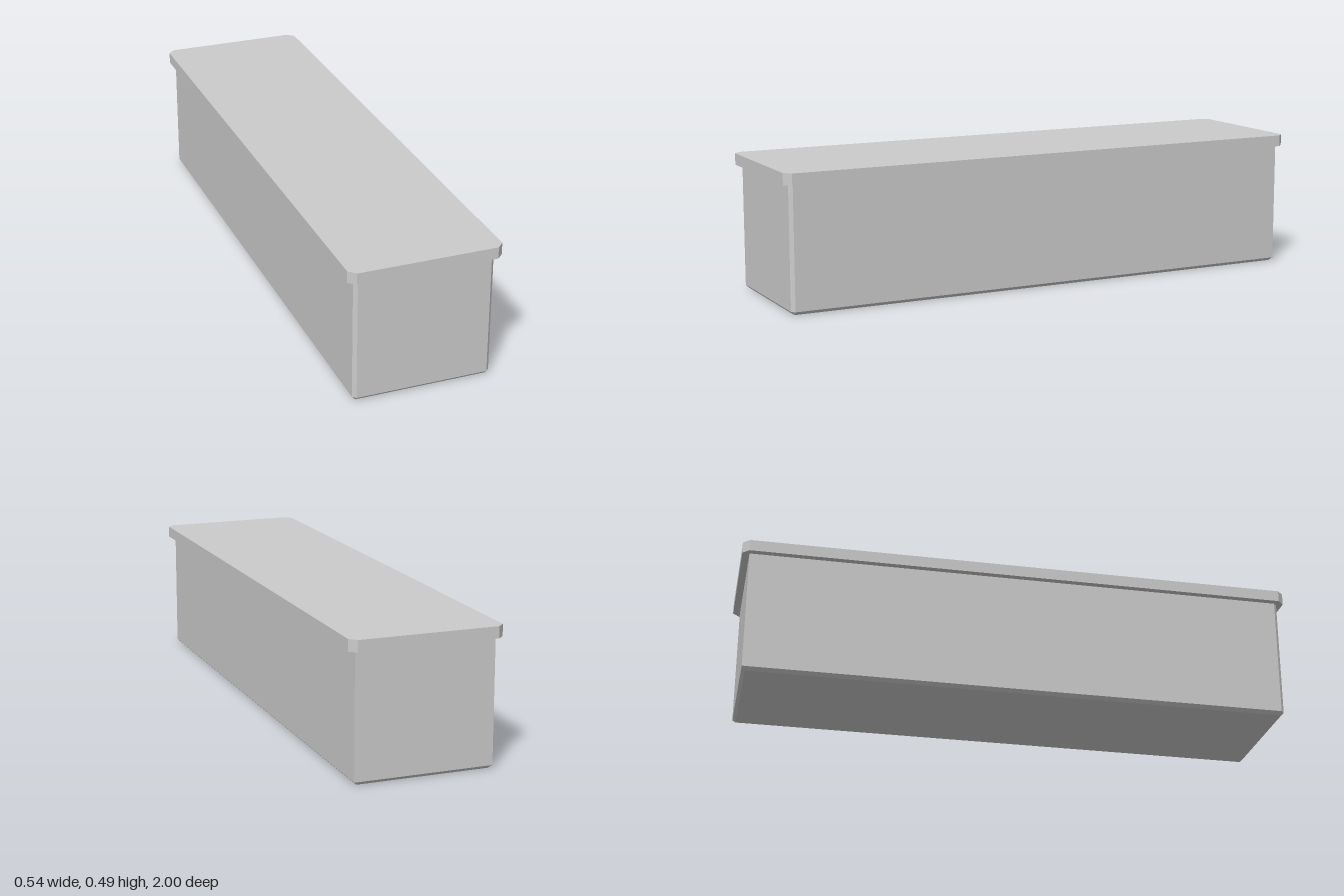
import * as THREE from 'three';

const material = new THREE.MeshStandardMaterial({ color: 0xcccccc, flatShading: true });

// Closed solid through stacked outlines; each outline is [x, z] points,
// counter-clockwise from above, at its own height.
function loft(name, sections) {
  const rings = sections.map(({ y, outline }) => outline.map(([x, z]) => new THREE.Vector3(x, y, z)));
  const n = rings[0].length;
  const positions = [];
  const triangle = (a, b, c) => {
    if (a.equals(b) || b.equals(c) || c.equals(a)) return;
    for (const p of [a, b, c]) positions.push(p.x, p.y, p.z);
  };
  for (let r = 0; r < rings.length - 1; r++) {
    const low = rings[r], high = rings[r + 1];
    for (let i = 0; i < n; i++) {
      const j = (i + 1) % n;
      triangle(low[i], low[j], high[j]);
      triangle(low[i], high[j], high[i]);
    }
  }
  const bottom = rings[0], top = rings[rings.length - 1];
  for (let i = 1; i < n - 1; i++) {
    triangle(bottom[0], bottom[i + 1], bottom[i]);
    triangle(top[0], top[i], top[i + 1]);
  }
  const geometry = new THREE.BufferGeometry();
  geometry.setAttribute('position', new THREE.Float32BufferAttribute(positions, 3));
  geometry.computeVertexNormals();
  const mesh = new THREE.Mesh(geometry, material);
  mesh.name = name;
  return mesh;
}

// Rectangle with corners cut by separate front and back amounts
function outline(halfWidth, back, front, cutFront, cutBack) {
  const right = [
    [halfWidth - cutFront, front],
    [halfWidth, front - cutFront],
    [halfWidth, back + cutBack],
    [halfWidth - cutBack, back],
  ];
  const left = right.map(([x, z]) => [-x, z]).reverse();
  return [...right, ...left];
}

export function createModel() {
  const model = new THREE.Group();
  model.name = 'box';

  // Body: bevelled bottom edges and front corners, square back corners
  const bevel = 0.012;
  const wall = outline(0.245, -0.975, 0.978, bevel, 0);
  const base = outline(0.245 - bevel, -0.975 + bevel, 0.978 - bevel, 0, 0);
  model.add(loft('body', [
    { y: 0, outline: base },
    { y: bevel, outline: wall },
    { y: 0.447, outline: wall },
  ]));

  // Lid: overhanging slab with cut corners
  const slab = outline(0.269, -1, 1, 0.024, 0.024);
  model.add(loft('lid', [
    { y: 0.447, outline: slab },
    { y: 0.488, outline: slab },
  ]));

  return model;
}
